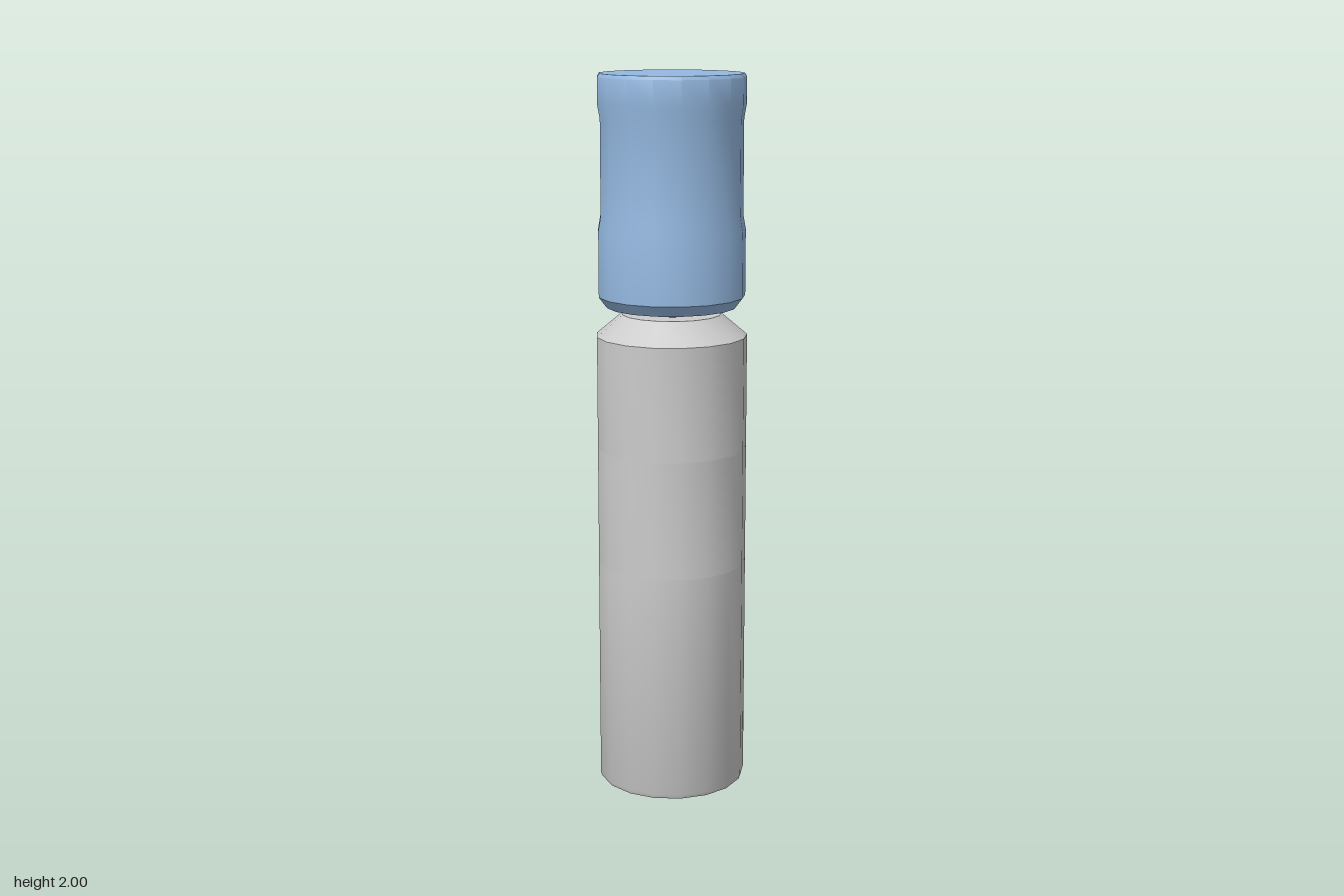
import * as THREE from 'three';
import { toCreasedNormals } from 'three/addons/utils/BufferGeometryUtils.js';

const SIDES = 17;
const R = 0.209; // cabinet radius
const NICHE_BOTTOM = 0.645, NICHE_TOP = 0.975, NICHE_WALL = -0.095;

const paint = (color) => new THREE.MeshStandardMaterial({ color });

function addMesh(parent, name, geometry, material) {
  const mesh = new THREE.Mesh(geometry, material);
  mesh.name = name;
  parent.add(mesh);
  return mesh;
}

// 17-sided turned part with one corner pointing to the back
function turned(profile) {
  const points = profile.map(([r, y]) => new THREE.Vector2(r, y));
  return toCreasedNormals(new THREE.LatheGeometry(points, SIDES, Math.PI), 0.6);
}

// Cabinet slice with a rectangular recess cut into the back
function nicheSlice() {
  const corner = (k) => {
    const a = (k / SIDES) * Math.PI * 2;
    return new THREE.Vector2(Math.sin(a) * R, Math.cos(a) * R);
  };
  const mouth = corner(2).lerp(corner(3), 0.25);
  const outline = [mouth];
  for (let k = 3; k <= SIDES - 3; k++) outline.push(corner(k));
  outline.push(
    new THREE.Vector2(-mouth.x, mouth.y),
    new THREE.Vector2(-mouth.x, -NICHE_WALL),
    new THREE.Vector2(mouth.x, -NICHE_WALL)
  );
  const slice = new THREE.ExtrudeGeometry(new THREE.Shape(outline), {
    depth: NICHE_TOP - NICHE_BOTTOM, bevelEnabled: false,
  });
  slice.rotateX(-Math.PI / 2).translate(0, NICHE_BOTTOM, 0);
  return toCreasedNormals(slice, 0.6);
}

export function createModel() {
  const model = new THREE.Group();
  model.name = 'waterDispenser';
  const grey = paint(0xcccccc);

  // Cabinet: base, slice with the tap niche, top with sloping shoulder
  const cabinet = new THREE.Group();
  cabinet.name = 'cabinet';
  model.add(cabinet);
  addMesh(cabinet, 'cabinetBase', turned([
    [0, 0], [0.204, 0], [R, 0.012], [R, NICHE_BOTTOM], [0, NICHE_BOTTOM],
  ]), grey);
  addMesh(cabinet, 'tapNiche', nicheSlice(), grey);
  addMesh(cabinet, 'cabinetTop', turned([
    [0, NICHE_TOP], [R, NICHE_TOP], [R, 1.29], [0.138, 1.35], [0, 1.35],
  ]), grey);

  // Upturned bottle with a slight waist
  addMesh(model, 'waterBottle', turned([
    [0, 1.345], [0.07, 1.35], [0.12, 1.37], [0.18, 1.37], [0.203, 1.4],
    [0.203, 1.58], [0.196, 1.62], [0.196, 1.88], [0.203, 1.92],
    [0.203, 1.99], [0.197, 2], [0, 2],
  ]), paint(0x94b8e0));

  // Cold and hot taps
  const tap = new THREE.BoxGeometry(0.075, 0.013, 0.074);
  for (const [name, x, color] of [['coldTap', 0.07, 0x0a2fb0], ['hotTap', -0.07, 0xc01010]]) {
    addMesh(model, name, tap, paint(color)).position.set(x, 0.845, -0.13);
  }
  return model;
}
